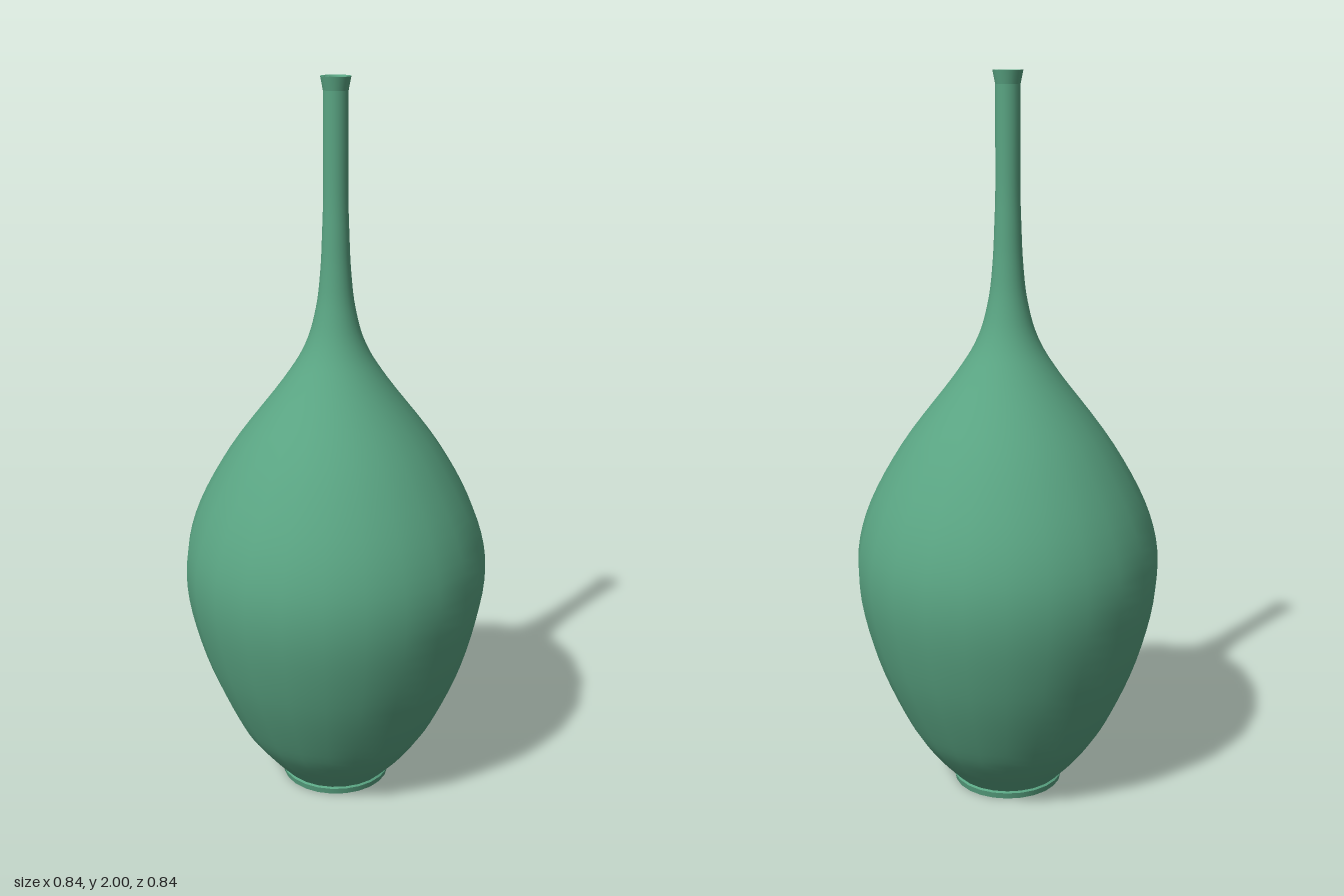
import * as THREE from 'three';

const SIDES = 24;

export function createModel() {
  const vase = new THREE.Group();
  vase.name = 'vase';
  const glaze = new THREE.MeshStandardMaterial({ color: 0x5aa583 });
  glaze.name = 'green glaze';

  const vectors = (pairs) => pairs.map(([r, y]) => new THREE.Vector2(r, y));
  const smooth = (pairs, steps) => new THREE.SplineCurve(vectors(pairs)).getPoints(steps);
  // Each turned part is its own lathe, so the edges between parts stay sharp
  const turn = (name, points) => {
    const mesh = new THREE.Mesh(new THREE.LatheGeometry(points, SIDES), glaze);
    mesh.name = name;
    vase.add(mesh);
  };

  // Foot
  turn('footBase', vectors([[0, 0], [0.153, 0]]));
  turn('footRing', vectors([[0.153, 0], [0.157, 0.018]]));
  turn('footLedge', vectors([[0.157, 0.018], [0.152, 0.022]]));

  // Body sweeping up into the slender neck
  turn('body', smooth([
    [0.152, 0.022], [0.222, 0.1], [0.288, 0.2], [0.373, 0.4], [0.421, 0.62],
    [0.396, 0.8], [0.293, 1.0], [0.143, 1.2], [0.082, 1.3], [0.053, 1.4],
    [0.041, 1.5], [0.036, 1.6], [0.033, 1.7], [0.033, 1.85], [0.033, 1.965],
  ], 70));

  // Flared lip
  turn('lip', vectors([[0.033, 1.965], [0.036, 1.98], [0.04, 2]]));
  turn('rim', vectors([[0.04, 2], [0.034, 2]]));

  // Hollow inside, from the mouth down to the floor
  turn('innerWall', smooth([
    [0.034, 2], [0.027, 1.96], [0.026, 1.7], [0.03, 1.5], [0.07, 1.3],
    [0.13, 1.2], [0.28, 1.0], [0.38, 0.8], [0.405, 0.62], [0.357, 0.4],
    [0.272, 0.2], [0.14, 0.04],
  ], 50));
  turn('innerFloor', vectors([[0.14, 0.04], [0, 0.04]]));

  return vase;
}
